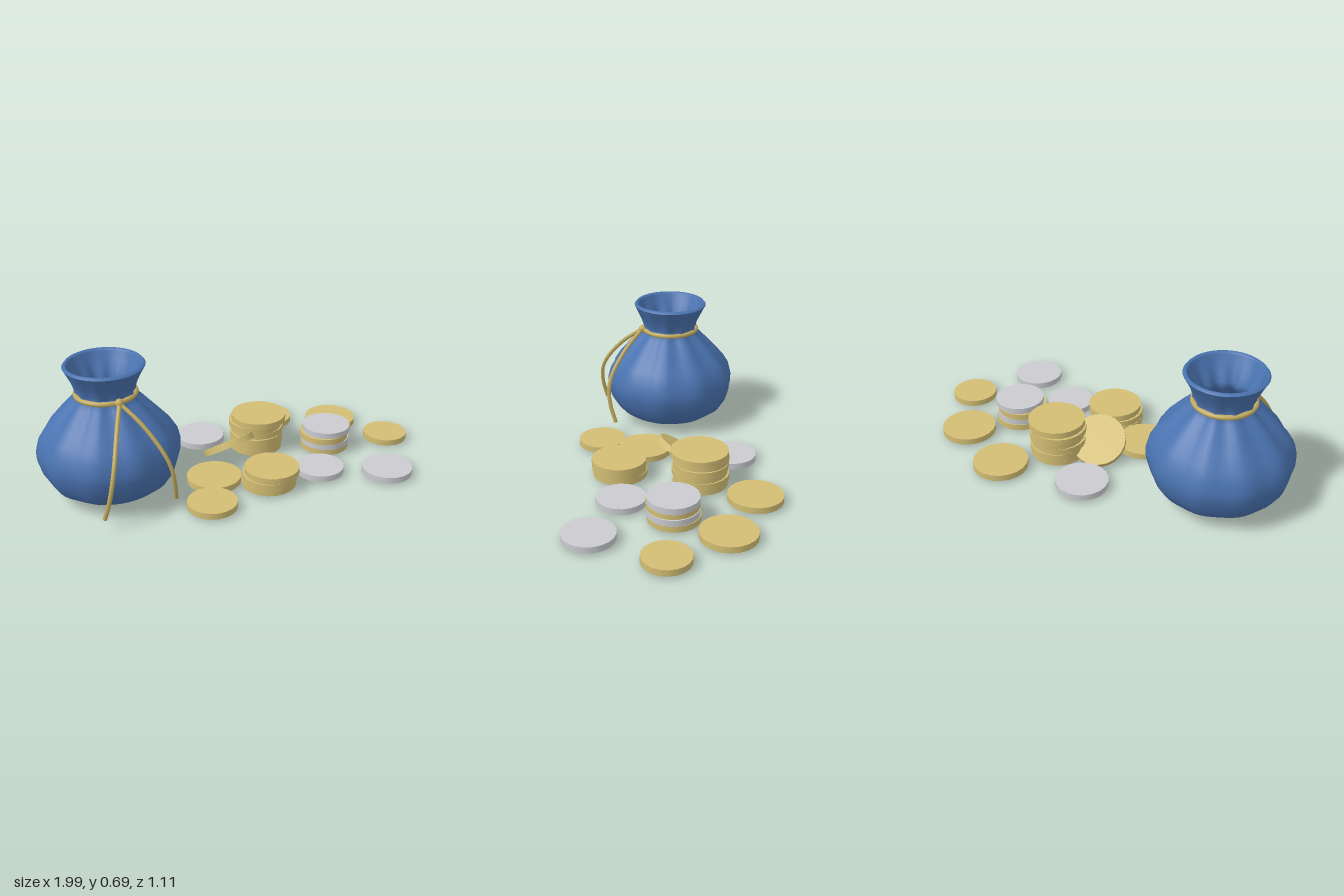
import * as THREE from 'three';
import { mergeVertices } from 'three/addons/utils/BufferGeometryUtils.js';

const mat = (name, color) => Object.assign(new THREE.MeshStandardMaterial({ color }), { name });

export function createModel() {
  const cloth = mat('blue cloth', 0x4a73b0);
  const gold = mat('gold', 0xd3be74);
  const silver = mat('silver', 0xcbccd0);
  const rope = mat('rope', 0xc2ab60);

  const model = new THREE.Group();
  const add = (parent, name, geometry, material) => {
    const mesh = new THREE.Mesh(geometry, material);
    mesh.name = name;
    parent.add(mesh);
    return mesh;
  };

  // Turned cloth surface with soft folds; each profile point is [radius, y, fold depth]
  const LOBES = 10;
  function foldedLathe(profile) {
    const SEG = 60;
    const geo = new THREE.LatheGeometry(profile.map(([r, y]) => new THREE.Vector2(r, y)), SEG);
    const pos = geo.attributes.position;
    for (let i = 0; i < pos.count; i++) {
      const [r, y, fold] = profile[i % profile.length];
      const a = (Math.floor(i / profile.length) % SEG) / SEG * Math.PI * 2;
      const rr = r + fold * Math.cos(a * LOBES);
      pos.setXYZ(i, rr * Math.sin(a), y, rr * Math.cos(a));
    }
    geo.deleteAttribute('uv');
    geo.deleteAttribute('normal');
    const merged = mergeVertices(geo, 1e-5);
    merged.computeVertexNormals();
    return merged;
  }

  // Money bag
  const bag = new THREE.Group();
  bag.name = 'moneyBag';
  bag.position.set(-0.645, 0, -0.19);
  model.add(bag);
  add(bag, 'bagOutside', foldedLathe([
    [0, 0.018, 0], [0.1, 0.021, 0], [0.18, 0.03, 0], [0.24, 0.046, 0.001], [0.295, 0.085, 0.003],
    [0.332, 0.145, 0.005], [0.35, 0.21, 0.006], [0.35, 0.255, 0.007], [0.335, 0.31, 0.008],
    [0.303, 0.36, 0.009], [0.258, 0.41, 0.01], [0.212, 0.46, 0.01], [0.168, 0.505, 0.009],
    [0.142, 0.535, 0.007], [0.143, 0.56, 0.006], [0.157, 0.6, 0.005], [0.178, 0.64, 0.003], [0.199, 0.68, 0],
  ]), cloth);
  add(bag, 'bagRim', foldedLathe([[0.199, 0.68, 0], [0.188, 0.693, 0], [0.178, 0.682, 0]]), cloth);
  add(bag, 'bagInside', foldedLathe([
    [0.178, 0.682, 0], [0.157, 0.64, 0.003], [0.134, 0.6, 0.006], [0.117, 0.56, 0.008], [0.113, 0.535, 0.008],
    [0.14, 0.505, 0.008], [0.19, 0.455, 0.008], [0.28, 0.36, 0.006], [0.325, 0.25, 0.004],
    [0.305, 0.145, 0.002], [0.225, 0.07, 0], [0, 0.045, 0],
  ]), cloth);

  // Drawstring: ring, knot and two hanging cords
  const ring = add(bag, 'ropeRing', new THREE.TorusGeometry(0.146, 0.013, 8, 40), rope);
  ring.rotation.x = Math.PI / 2;
  ring.position.y = 0.537;
  add(bag, 'ropeKnot', new THREE.SphereGeometry(0.022, 12, 8), rope).position.set(0, 0.54, 0.158);
  for (const side of [-1, 1]) {
    const path = new THREE.CatmullRomCurve3([
      [0, 0.54, 0.16], [0.066, 0.45, 0.262], [0.125, 0.33, 0.348],
      [0.152, 0.25, 0.373], [0.17, 0.16, 0.368], [0.188, 0.06, 0.342],
    ].map(([x, y, z]) => new THREE.Vector3(side * x, y, z)));
    const cord = new THREE.Group();
    cord.name = side < 0 ? 'rightCord' : 'leftCord';
    add(cord, 'cord', new THREE.TubeGeometry(path, 20, 0.011, 6), rope);
    // End caps of the cord
    for (const t of [0, 1]) {
      const cap = add(cord, 'cordEnd', new THREE.CircleGeometry(0.011, 6), rope);
      cap.position.copy(path.getPoint(t));
      const dir = path.getTangent(t).multiplyScalar(t ? 1 : -1);
      cap.quaternion.setFromUnitVectors(new THREE.Vector3(0, 0, 1), dir);
    }
    bag.add(cord);
  }

  // Coins
  const T = 0.032, BASE = 0.014;
  function coin(name, x, z, r, level, material) {
    const mesh = add(model, name, new THREE.CylinderGeometry(r, r, T, 20), material);
    mesh.position.set(x, BASE + T * (level + 0.5), z);
    mesh.rotation.y = x * 7 + level;
    return mesh;
  }

  // Loose coins lying flat
  for (const [x, z, r, m] of [
    [-0.015, -0.405, 0.132, silver], [0.345, 0.23, 0.124, silver], [0.637, 0.42, 0.13, silver],
    [0.43, -0.42, 0.14, gold], [0.733, -0.213, 0.14, gold], [0.88, 0.102, 0.118, gold],
    [-0.175, 0.03, 0.14, gold], [-0.308, 0.245, 0.125, gold],
  ]) coin('looseCoin', x, z, r, 0, m);

  // Stacks, listed from the bottom coin up
  const stacks = {
    lowStackCoin: [[0.05, 0.195, 0.14, gold], [0.052, 0.2, 0.14, gold], [0.064, 0.202, 0.14, gold]],
    tallStackCoin: [
      [0.215, -0.19, 0.14, gold], [0.218, -0.192, 0.142, gold], [0.212, -0.185, 0.142, gold],
      [0.222, -0.19, 0.14, gold], [0.21, -0.193, 0.142, gold], [0.225, -0.182, 0.146, gold],
    ],
    mixedStackCoin: [
      [0.535, 0.005, 0.13, gold], [0.535, 0.01, 0.13, silver], [0.527, 0.01, 0.13, gold], [0.541, 0.01, 0.128, silver],
    ],
  };
  for (const [name, coins] of Object.entries(stacks)) {
    coins.forEach(([x, z, r, m], level) => coin(name, x, z, r, level, m));
  }

  // Coin leaning against the tall stack, raised at the front
  const leaning = coin('leaningCoin', 0.012, -0.135, 0.14, 0, gold);
  leaning.position.y = 0.092;
  leaning.rotation.set(-0.58, 0, 0.1);

  return model;
}
